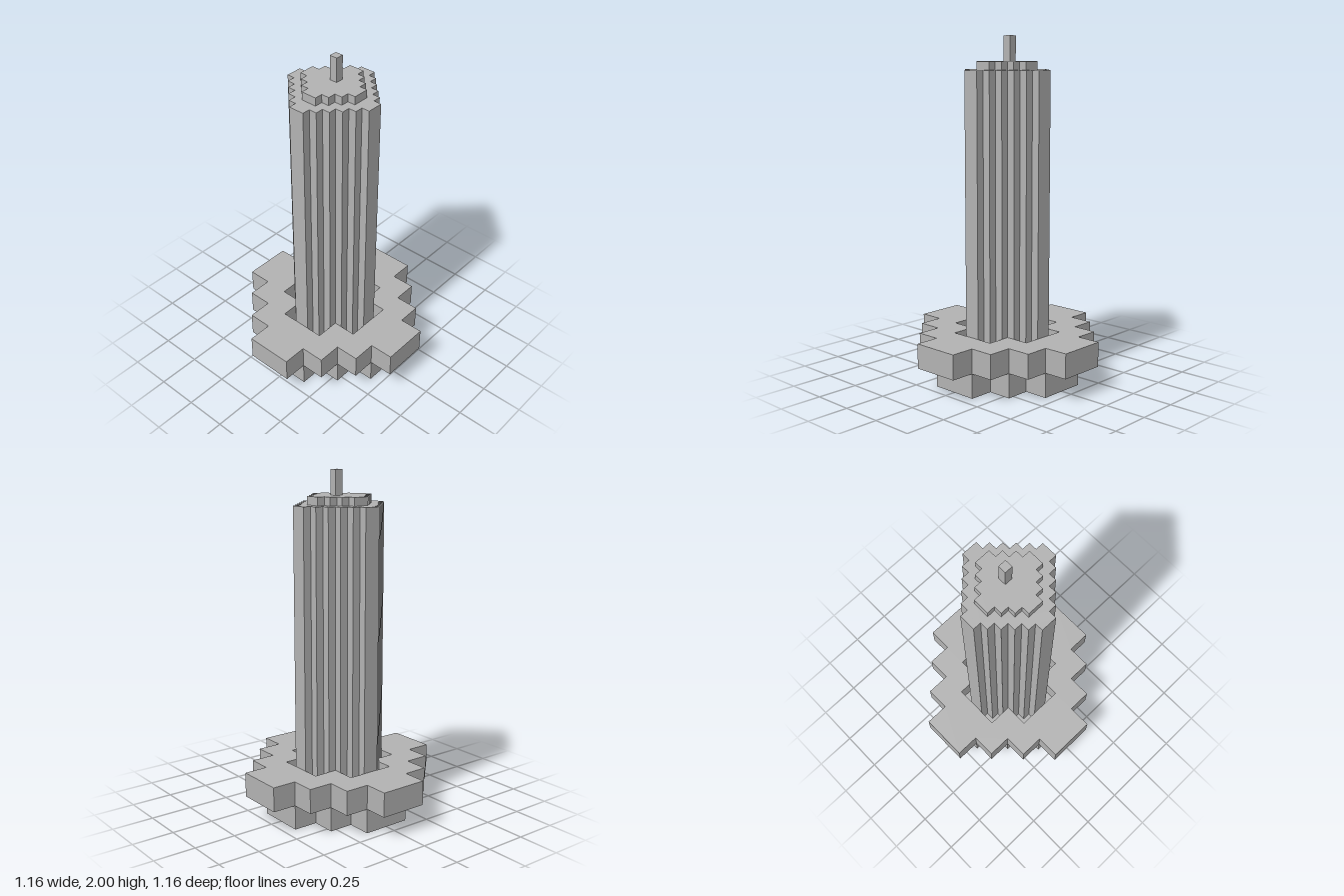
import * as THREE from 'three';

const COARSE = 0.1444;      // step size of the podium
const FINE = COARSE / 3;    // step size of the tower

// Outline of a stepped diamond with n steps per quarter, counter-clockwise
function steppedPoints(n, unit) {
  const points = [];
  for (let q = 0; q < 4; q++) {
    const add = (x, y) => {
      for (let k = 0; k < q; k++) [x, y] = [-y, x];
      points.push(new THREE.Vector2(x * unit, y * unit));
    };
    for (let i = n; i >= 1; i--) {
      add(i, n + 1 - i);
      if (i > 1) add(i - 1, n + 1 - i);
    }
  }
  return points;
}

export function createModel() {
  const group = new THREE.Group();
  const stone = new THREE.MeshStandardMaterial({ color: 0xb2b2b2 });
  stone.name = 'grey stone';

  // Vertical prism between two heights, with an optional hole
  function addTier(name, points, y0, y1, hole) {
    const shape = new THREE.Shape(points);
    if (hole) shape.holes.push(new THREE.Path(hole));
    const geometry = new THREE.ExtrudeGeometry(shape, { depth: y1 - y0, bevelEnabled: false });
    geometry.rotateX(-Math.PI / 2);
    geometry.translate(0, y0, 0);
    const mesh = new THREE.Mesh(geometry, stone);
    mesh.name = name;
    group.add(mesh);
  }

  const podiumTop = 2 * COARSE;
  const towerTop = 1.808;
  const capTop = towerTop + FINE;

  // Podium: narrow foot below a wider terrace that is cut out around the tower
  addTier('podiumFoot', steppedPoints(3, COARSE), 0, COARSE);
  addTier('podiumTerrace', steppedPoints(4, COARSE), COARSE, podiumTop, steppedPoints(2, COARSE));

  // Fluted tower shaft and its roof cap
  addTier('towerShaft', steppedPoints(6, FINE), COARSE, towerTop);
  addTier('roofCap', steppedPoints(4, FINE), towerTop, capTop);

  // Square mast, set just to the left of the centre line
  const mast = new THREE.Mesh(new THREE.BoxGeometry(FINE, 2 - capTop, FINE), stone);
  mast.name = 'mast';
  mast.position.set(FINE / 2, (2 + capTop) / 2, 0);
  group.add(mast);

  return group;
}
